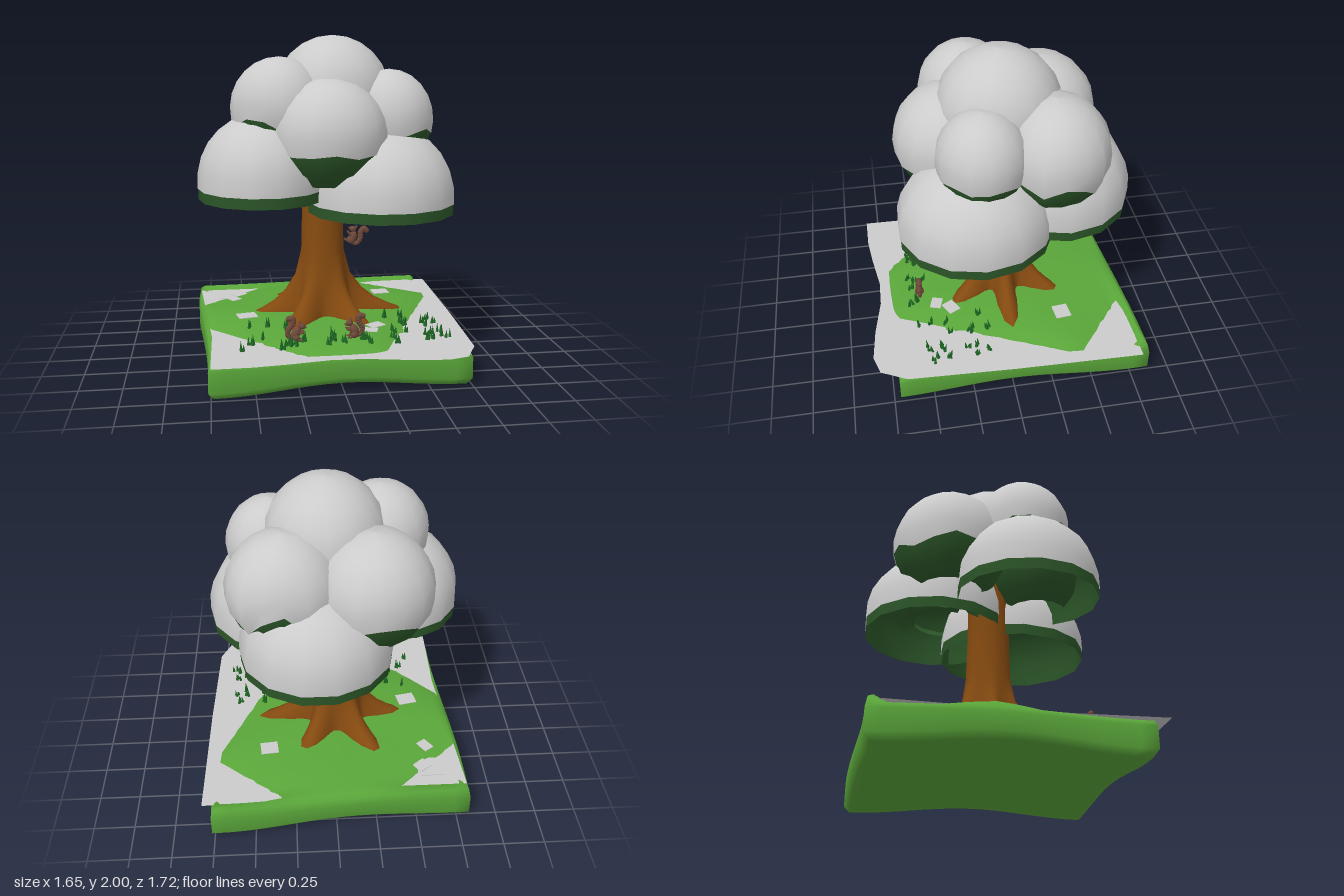
import * as THREE from 'three';

const mat = (color, side = THREE.FrontSide) => new THREE.MeshStandardMaterial({ color, side });
const GREY = mat(0xcccccc, THREE.DoubleSide);
const LEAF = mat(0x2b5528, THREE.DoubleSide);
const GRASS = mat(0x5aa63a);
const BLADE = mat(0x1f6b24);
const BARK = mat(0x854a10);
const FUR = mat(0x70493a);

function mesh(name, geometry, material, parent) {
  const m = new THREE.Mesh(geometry, material);
  m.name = name;
  parent.add(m);
  return m;
}

// Skin closed rings, listed from bottom to top; point(i, j) returns [x, y, z]
function loft(rings, sides, point) {
  const pos = [], index = [];
  for (let i = 0; i < rings; i++) {
    for (let j = 0; j < sides; j++) {
      pos.push(...point(i, j));
      if (i === rings - 1) continue;
      const k = (j + 1) % sides;
      const a = i * sides + j, b = i * sides + k;
      index.push(a, a + sides, b, b, a + sides, b + sides);
    }
  }
  const g = new THREE.BufferGeometry();
  g.setAttribute('position', new THREE.Float32BufferAttribute(pos, 3));
  g.setIndex(index);
  g.computeVertexNormals();
  return g;
}

// Dome open below; limit(angle) is the height of the snow edge (-1..1).
// With a bottom height, two more rings continue the dome below that edge.
// Straight domes keep their full radius below the equator.
function dome([rx, ry, rz], limit, straight, bottom) {
  const skirt = bottom === undefined ? 0 : 2, sides = straight ? 14 : 16;
  return loft(8 + skirt, sides, (i, j) => {
    const a = (j / sides) * Math.PI * 2;
    const edge = Math.acos(limit(a)), k = i - skirt;
    const t = k >= 0 ? edge * (1 - k / 7) : edge + (Math.acos(bottom) - edge) * (-k / 2);
    const r = straight && t > Math.PI / 2 ? 1 : Math.max(Math.sin(t), 0.001);
    return [rx * r * Math.cos(a), ry * Math.cos(t), rz * r * Math.sin(a)];
  });
}

function foliage(name, centre, size, parent, straight, wave = 0.1) {
  const g = new THREE.Group();
  g.name = name;
  g.position.set(...centre);
  const ry = size[1];
  const limit = straight ? () => -0.05 / ry
    : a => -0.25 + wave * Math.sin(5 * a + centre[0] * 9) + wave * 0.6 * Math.sin(3 * a);
  mesh('leaves', dome(size, limit, straight, straight ? -0.115 / ry : -0.82), LEAF, g);
  mesh('snowCap', dome(size, limit, straight), GREY, g).scale.setScalar(1.012);
  parent.add(g);
}

const smooth = t => t * t * (3 - 2 * t);

// Wavy square outline of the island, parameter 0..1
function outline(s) {
  const corners = [[0.765, -0.86], [0.75, 0.71], [-0.765, 0.745], [-0.825, -0.77]];
  const k = Math.floor(s * 4) % 4, f = (s * 4) % 1;
  const a = corners[k], b = corners[(k + 1) % 4], e = smooth(f);
  const along = (p, q, straight) => p + (q - p) * (straight ? f : e);
  const bulge = 0.025 * Math.sin(f * Math.PI * 2);
  const vertical = k % 2 === 0;
  return [along(a[0], b[0], !vertical) + (vertical ? bulge * 0.2 : 0),
    along(a[1], b[1], vertical), Math.sin(f * Math.PI) ** 2];
}

// Gentle mound whose corners slope away: normal x, normal z, distance
const SLOPES = [[0.91, 0.414, 0.51], [-0.723, 0.691, 0.65], [0.633, -0.774, 0.8], [-0.679, -0.734, 0.79], [0, 1, 0.71]];
function groundHeight(x, z) {
  const e = Math.max(...SLOPES.map(([nx, nz, d]) => (nx * x + nz * z) / d));
  return Math.max(0.268 - 0.05 * e ** 4, 0.195);
}

function island() {
  const sides = 64;
  const scales = [0.001, 0.5, 0.88, 0.96, 1, 1, 0.985, 0.95, 0.9, 0.82, 0.74, 0.65, 0.5, 0.3, 0.001];
  return loft(scales.length, sides, (i, j) => {
    const [ox, oz, mid] = outline(j / sides);
    const x = ox * scales[i], z = oz * scales[i], low = 0.05 * mid;
    let y = groundHeight(x, z);
    if (i < 2) y = 0.05;
    else if (i < 4) y = low + (i === 2 ? 0.012 : 0);
    else if (i === 4) y = low + 0.04;
    else if (i === 5) y = 0.165 + 0.02 * mid;
    else if (i === 6) y = oz < -0.765 ? 0.225 : 0.195 + 0.02 * mid;
    else if (i === 7 && oz < -0.765) y = 0.245;
    return [x, y, z];
  });
}

function trunk() {
  const ys = [0.22, 0.26, 0.29, 0.335, 0.4, 0.5, 0.66, 0.95, 1.35];
  const base = [0.2, 0.195, 0.19, 0.182, 0.172, 0.158, 0.135, 0.128, 0.125];
  const root = [0.33, 0.3, 0.23, 0.15, 0.08, 0.02, 0, 0, 0];
  const sides = 60;
  return loft(ys.length, sides, (i, j) => {
    const a = (j / sides) * Math.PI * 2;
    const lobe = (0.5 + 0.5 * Math.cos(6 * a + 0.35 * Math.sin(a * 2))) ** 1.6;
    const r = base[i] + root[i] * lobe * (0.92 + 0.1 * Math.sin(a * 3 + 1)) * (1 - 0.15 * Math.sin(a) ** 2);
    return [-0.03 + r * Math.cos(a), ys[i], -0.04 + r * Math.sin(a)];
  });
}

// Squirrel sitting at its origin, facing -x
function squirrel(name, x, y, z, turn, lean, parent) {
  const g = new THREE.Group();
  g.name = name;
  g.position.set(x, y, z);
  g.rotation.set(0, turn, lean);
  const blob = (part, p, s, tilt = 0) => {
    const m = mesh(part, new THREE.SphereGeometry(1, 10, 8), FUR, g);
    m.position.set(...p);
    m.scale.set(...s);
    m.rotation.z = tilt;
  };
  blob('body', [0.012, 0.042, 0], [0.027, 0.044, 0.024], 0.35);
  blob('head', [-0.018, 0.088, 0], [0.023, 0.019, 0.018], 0.2);
  blob('snout', [-0.038, 0.082, 0], [0.01, 0.008, 0.009]);
  for (const s of [-1, 1]) {
    blob('ear', [-0.008, 0.109, s * 0.011], [0.005, 0.011, 0.004]);
    blob('hindLeg', [0.008, 0.02, s * 0.02], [0.022, 0.019, 0.01]);
    blob('foot', [-0.015, 0.006, s * 0.02], [0.018, 0.006, 0.007]);
    blob('arm', [-0.022, 0.052, s * 0.015], [0.02, 0.007, 0.006], -0.3);
  }
  const path = new THREE.CatmullRomCurve3([[0.03, 0.012], [0.055, 0.025], [0.056, 0.065], [0.035, 0.1],
    [0.04, 0.13], [0.062, 0.128]].map(p => new THREE.Vector3(p[0], p[1], 0)));
  for (let i = 0; i <= 12; i++) {
    const p = path.getPoint(i / 12), r = 0.011 + 0.008 * Math.sin((i / 12) * 2.4);
    blob('tail', [p.x, p.y, 0], [r, r, r]);
  }
  parent.add(g);
}

export function createModel() {
  const model = new THREE.Group();
  mesh('island', island(), GRASS, model);
  mesh('trunk', trunk(), BARK, model);

  // Flat snow sheet the mound rises through
  const edge = [[-0.81, -0.7], [-0.4, -0.7], [0.31, -0.78], [0.82, -0.8], [0.8, 0], [0.77, 0.66], [0.69, 0.82],
    [0.57, 0.855], [0.35, 0.83], [0.1, 0.78], [-0.09, 0.775], [-0.33, 0.81], [-0.52, 0.83], [-0.75, 0.83], [-0.74, 0.3]];
  const sheet = new THREE.ShapeGeometry(new THREE.Shape(edge.map(p => new THREE.Vector2(p[0], -p[1]))));
  sheet.rotateX(-Math.PI / 2);
  mesh('snowSheet', sheet, GREY, model).position.y = 0.218;

  // Small snow patches: x, z, width, depth, turn
  for (const [x, z, w, d, turn] of [[-0.6, -0.55, 0.16, 0.15, 0], [-0.55, -0.54, 0.09, 0.08, 0.6],
    [-0.59, -0.38, 0.07, 0.09, 0.6], [-0.52, 0.06, 0.12, 0.1, 0.2], [0.41, -0.37, 0.11, 0.1, 0.1],
    [0.25, 0.33, 0.1, 0.08, 0.5], [0.2, 0.42, 0.09, 0.07, -0.3]]) {
    const patch = mesh('snowPatch', new THREE.BoxGeometry(w, 0.004, d), GREY, model);
    patch.position.set(x, Math.max(groundHeight(x, z), 0.218) + 0.006, z);
    patch.rotation.y = turn;
  }

  // Lower crown: three open domes
  const crown = new THREE.Group();
  crown.name = 'crown';
  model.add(crown);
  foliage('lowerRightFoliage', [-0.42, 1.145, 0.14], [0.38, 0.395, 0.42], crown, true);
  foliage('lowerLeftFoliage', [0.305, 1.052, 0.165], [0.445, 0.415, 0.465], crown, true);
  foliage('lowerBackFoliage', [0.1, 1.095, -0.36], [0.45, 0.42, 0.445], crown, true);

  // Upper crown: rounded clumps with ragged caps
  foliage('topFoliage', [0.03, 1.63, -0.02], [0.36, 0.366, 0.37], crown, false);
  foliage('frontFoliage', [-0.03, 1.41, 0.265], [0.35, 0.34, 0.34], crown, false, 0.06);
  foliage('frontRightFoliage', [-0.31, 1.57, 0.13], [0.29, 0.3, 0.29], crown, false);
  foliage('frontLeftFoliage', [0.355, 1.5, 0.13], [0.27, 0.295, 0.265], crown, false, 0.07);
  foliage('backRightFoliage', [-0.23, 1.43, -0.31], [0.355, 0.36, 0.35], crown, false, 0.07);
  foliage('backLeftFoliage', [0.28, 1.45, -0.3], [0.34, 0.345, 0.33], crown, false, 0.2);

  squirrel('rightSquirrel', -0.25, 0.25, 0.52, Math.PI, 0.1, model);
  squirrel('leftSquirrel', 0.075, 0.255, 0.52, 0, 0, model);
  squirrel('climbingSquirrel', 0.13, 0.7, -0.03, 0, -0.6, model);

  // Grass tufts at both sides of the front
  let seed = 7;
  const rand = () => (seed = (seed * 16807) % 2147483647) / 2147483647;
  const grass = new THREE.Group();
  grass.name = 'grass';
  model.add(grass);
  const bladeShape = new THREE.ConeGeometry(0.011, 0.065, 5).translate(0, 0.028, 0);
  // Clumps: x range, z range, count
  for (const [x0, x1, z0, z1, count] of [[-0.57, -0.2, 0.2, 0.6, 14], [0.32, 0.68, 0.08, 0.55, 18],
    [-0.1, 0.35, 0.48, 0.62, 8]]) {
    for (let i = 0; i < count; i++) {
      const x = x0 + (x1 - x0) * rand(), z = z0 + (z1 - z0) * rand();
      for (let k = 0; k < 3; k++) {
        const b = mesh('blade', bladeShape, BLADE, grass);
        const bx = x + 0.03 * (rand() - 0.5), bz = z + 0.03 * (rand() - 0.5);
        b.position.set(bx, Math.max(groundHeight(bx, bz), 0.217), bz);
        b.rotation.set(0.4 * (rand() - 0.5), rand() * 3, 0.4 * (rand() - 0.5));
        b.scale.y = 0.6 + 0.5 * rand();
      }
    }
  }
  return model;
}
